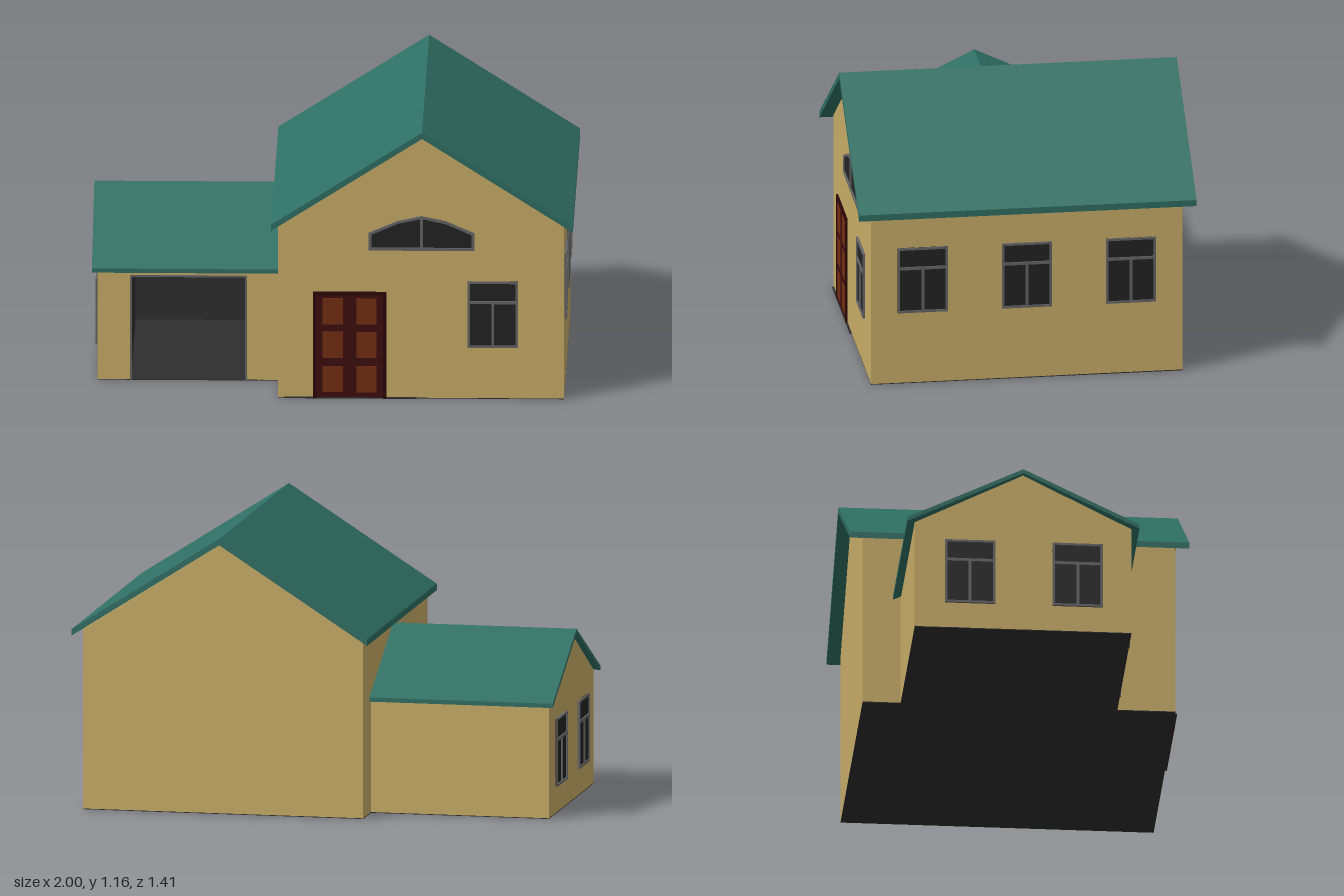
import * as THREE from 'three';

const mat = (color, side = THREE.FrontSide) => new THREE.MeshStandardMaterial({ color, side, roughness: 0.9 });
const M = {
  wall: mat(0xcaae68), roof: mat(0x2f6f63), glass: mat(0x232323), frame: mat(0x666666),
  door: mat(0x3d0c0e), doorEdge: mat(0x2a0806), panel: mat(0x742f12),
  dark: mat(0x2e2e2e), lining: mat(0x2e2e2e, THREE.BackSide),
};

const shapeOf = (pts) => new THREE.Shape(pts.map(([x, y]) => new THREE.Vector2(x, y)));

function add(parent, name, geo, material, x = 0, y = 0, z = 0) {
  const mesh = new THREE.Mesh(geo, material);
  mesh.name = name;
  mesh.position.set(x, y, z);
  parent.add(mesh);
  return mesh;
}

// Box given by its limits
const block = (parent, name, material, [x0, x1], [y0, y1], [z0, z1]) =>
  add(parent, name, new THREE.BoxGeometry(x1 - x0, y1 - y0, z1 - z0), material,
    (x0 + x1) / 2, (y0 + y1) / 2, (z0 + z1) / 2);

// Profile extruded from a to b along z, or along x (profile then runs along -z)
function prism(pts, a, b, alongX = false) {
  const geo = new THREE.ExtrudeGeometry(shapeOf(pts), { depth: b - a, bevelEnabled: false });
  geo.translate(0, 0, a);
  return alongX ? geo.rotateY(Math.PI / 2) : geo;
}

const gable = (c, half, eave, ridge) =>
  [[c - half, 0.003], [c + half, 0.003], [c + half, eave], [c, ridge], [c - half, eave]];

const chevron = (c, half, eave, ridge, t) =>
  [[c - half, eave - t], [c, ridge - t], [c + half, eave - t], [c + half, eave], [c, ridge], [c - half, eave]];

// Outline with holes for the panes, backed by glass; base at y = 0, faces +z
function glazed(name, outline, panes) {
  const g = new THREE.Group();
  g.name = name;
  const frame = shapeOf(outline);
  panes.forEach((p) => frame.holes.push(new THREE.Path(p.map(([x, y]) => new THREE.Vector2(x, y)))));
  add(g, 'windowFrame', new THREE.ExtrudeGeometry(frame, { depth: 0.01, bevelEnabled: false }), M.frame);
  add(g, 'windowGlass', new THREE.ExtrudeGeometry(shapeOf(outline), { depth: 0.004, bevelEnabled: false }), M.glass);
  return g;
}

const rect = (x0, x1, y0, y1) => [[x0, y0], [x1, y0], [x1, y1], [x0, y1]];

function sashWindow(name) {
  const w = 0.104, h = 0.285, b = 0.009, m = 0.006, bar = 0.195;
  return glazed(name, rect(-w, w, 0, h), [
    rect(-w + b, -m, b, bar - m), rect(m, w - b, b, bar - m), rect(-w + b, w - b, bar + m, h - b)]);
}

function archWindow() {
  const half = [[0.012, 0.012], [0.208, 0.012], [0.208, 0.068], [0.098, 0.116], [0.006, 0.136]];
  const right = [[0.006, 0.012], ...half.slice(1)];
  const left = right.map(([x, y]) => [-x, y]);
  const outline = [[-0.22, 0], [0.22, 0], [0.22, 0.075], [0.1, 0.126], [0, 0.148], [-0.1, 0.126], [-0.22, 0.075]];
  return glazed('archWindow', outline, [right, left]);
}

export function createModel() {
  const model = new THREE.Group();
  model.name = 'houseWithGarage';

  const place = (obj, x, y, z, turn = 0) => {
    obj.position.set(x, y, z);
    obj.rotation.y = turn;
    model.add(obj);
  };

  // Main house
  const house = new THREE.Group();
  house.name = 'house';
  model.add(house);
  add(house, 'houseWalls', prism(gable(0.368, 0.592, 0.757, 1.138), -0.65, 0.65), M.wall);
  add(house, 'houseRoof', prism(chevron(0.373, 0.625, 0.764, 1.165, 0.027), -0.705, 0.705), M.roof);
  block(house, 'houseFloor', M.dark, [-0.224, 0.96], [0, 0.004], [-0.65, 0.65]);
  block(house, 'doorStep', M.dark, [-0.2, 0.35], [0, 0.005], [0.6, 0.658]);

  // Garage, hollow behind its opening
  const garage = new THREE.Group();
  garage.name = 'garage';
  model.add(garage);
  const zc = 0.042, gh = 0.45, eave = 0.477, ridge = 0.706;
  const solid = gable(zc, gh, eave, ridge);
  const hollow = [[zc - gh, 0.45], [0.45, 0.45], [0.45, 0.003], [zc + gh, 0.003],
    [zc + gh, eave], [zc, ridge], [zc - gh, eave]];
  add(garage, 'garageLeftOuterWall', prism(solid, -0.978, -0.84, true), M.wall);
  add(garage, 'garageMiddleWalls', prism(hollow, -0.84, -0.36, true), M.wall);
  add(garage, 'garageInnerWall', prism(solid, -0.36, -0.22, true), M.wall);
  add(garage, 'garageRoof', prism(chevron(zc, 0.482, 0.49, 0.725, 0.018), -1, -0.22, true), M.roof);
  block(garage, 'garageFloor', M.dark, [-0.978, -0.22], [0, 0.004], [-0.492, 0.408]);

  // Dark lining without its front face
  const lining = new THREE.BoxGeometry(0.476, 0.443, 0.85);
  lining.setIndex(Array.from(lining.index.array).filter((_, i) => i < 24 || i >= 30));
  add(garage, 'garageLining', lining, M.lining, -0.6, 0.2265, -0.019);
  for (const x of [-0.842, -0.366]) block(garage, 'openingPost', M.frame, [x, x + 0.008], [0, 0.452], [0.4, 0.412]);
  block(garage, 'openingLintel', M.frame, [-0.842, -0.358], [0.446, 0.454], [0.4, 0.412]);

  // Front door with two columns of three panels
  const door = new THREE.Group();
  door.name = 'frontDoor';
  model.add(door);
  block(door, 'doorLeaf', M.door, [-0.07, 0.215], [0, 0.45], [0.64, 0.655]);
  for (const x of [-0.08, 0.21]) block(door, 'doorPost', M.doorEdge, [x, x + 0.015], [0, 0.46], [0.64, 0.659]);
  block(door, 'doorLintel', M.doorEdge, [-0.08, 0.225], [0.446, 0.46], [0.64, 0.659]);
  for (const x of [-0.04, 0.1]) {
    for (const y of [0.027, 0.175, 0.32]) {
      block(door, 'doorPanel', M.panel, [x, x + 0.084], [y, y + 0.113], [0.645, 0.658]);
    }
  }

  // Windows
  place(sashWindow('frontWindow'), 0.665, 0.223, 0.65);
  place(archWindow(), 0.37, 0.641, 0.65);
  for (const z of [0.435, 0, -0.435]) place(sashWindow('sideWindow'), 0.96, 0.313, z, Math.PI / 2);
  for (const z of [-0.262, 0.185]) place(sashWindow('garageWindow'), -0.978, 0.115, z, -Math.PI / 2);

  return model;
}
